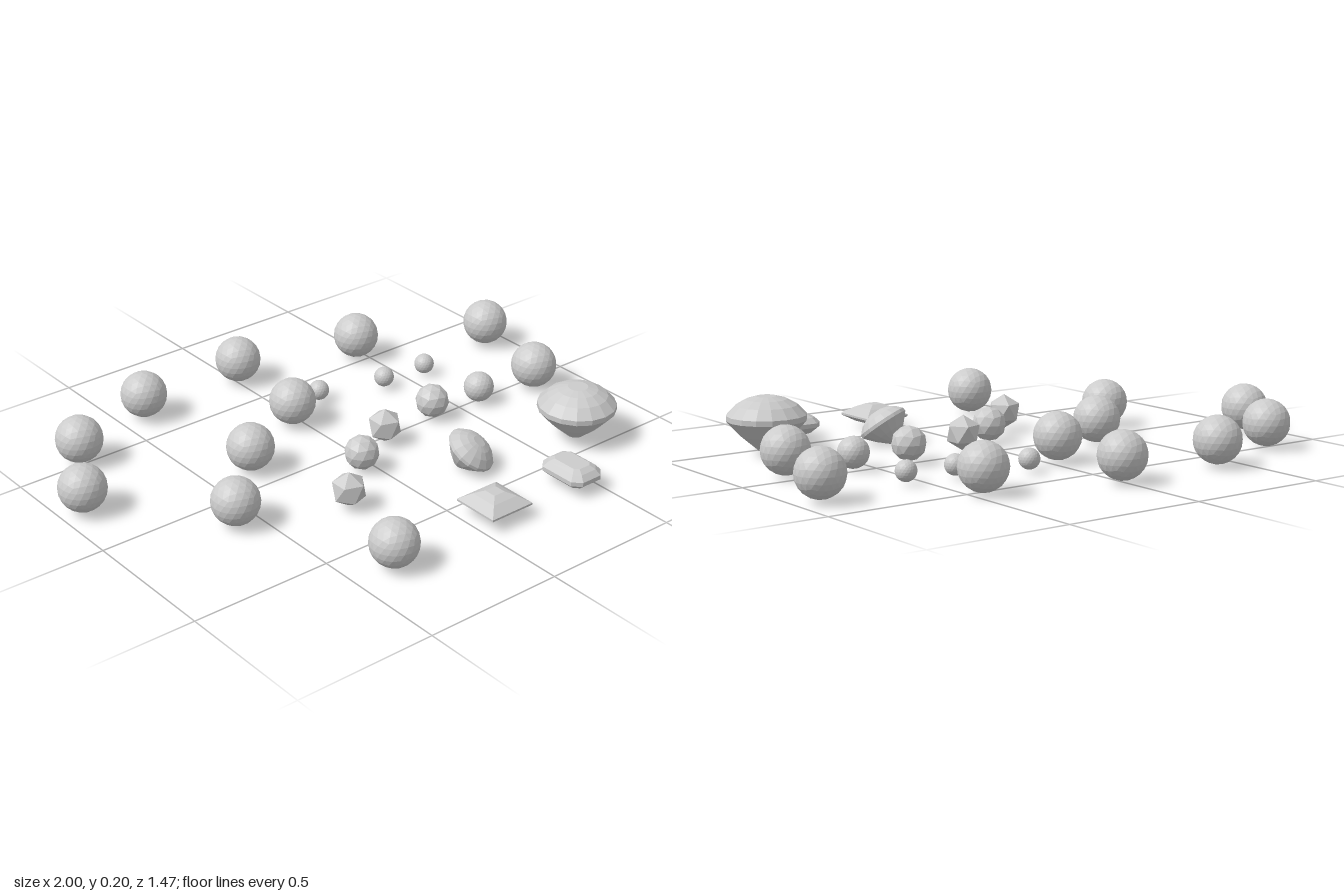
import * as THREE from 'three';

const material = new THREE.MeshStandardMaterial({ color: 0xcccccc, flatShading: true });

// Faceted solid from horizontal rings listed bottom to top, closed by flat caps
function loft(rings) {
  const pos = [];
  const tri = (...pts) => pts.forEach((p) => pos.push(p.x, p.y, p.z));
  const n = rings[0].length;
  const cap = (ring, top) => {
    const c = ring.reduce((s, p) => s.add(p), new THREE.Vector3()).divideScalar(n);
    for (let i = 0; i < n; i++) {
      const a = ring[i], b = ring[(i + 1) % n];
      if (top) tri(c, b, a); else tri(c, a, b);
    }
  };
  cap(rings[0], false);
  for (let k = 0; k < rings.length - 1; k++) {
    for (let i = 0; i < n; i++) {
      const j = (i + 1) % n, lo = rings[k], hi = rings[k + 1];
      tri(lo[i], hi[i], lo[j]);
      tri(lo[j], hi[i], hi[j]);
    }
  }
  cap(rings[rings.length - 1], true);
  const g = new THREE.BufferGeometry();
  g.setAttribute('position', new THREE.Float32BufferAttribute(pos, 3));
  g.computeVertexNormals();
  return g;
}

// Rectangle ring with cut corners: half width, half depth, corner cut, height
function cutRect(w, d, c, y) {
  return [[w, -d + c], [w, d - c], [w - c, d], [-w + c, d], [-w, d - c], [-w, -d + c], [-w + c, -d], [w - c, -d]]
    .map(([x, z]) => new THREE.Vector3(x, y, z));
}

// Regular polygon ring
function circle(r, y, sides = 16) {
  return Array.from({ length: sides }, (_, i) => {
    const a = (i / sides) * Math.PI * 2;
    return new THREE.Vector3(r * Math.cos(a), y, r * Math.sin(a));
  });
}

// Ball of triangles with a corner pointing straight up
function ball(radius, detail) {
  const g = new THREE.IcosahedronGeometry(radius, detail);
  g.rotateZ(Math.atan(2 / (1 + Math.sqrt(5))));
  g.rotateY(Math.PI);
  return g;
}

export function createModel() {
  const group = new THREE.Group();
  const add = (name, geometry, x, y, z) => {
    const mesh = new THREE.Mesh(geometry, material);
    mesh.name = name;
    mesh.position.set(x, y, z);
    group.add(mesh);
    return mesh;
  };

  // Round beads and coarser stones: name, radius, detail, height, [x, z] places
  const sets = [
    ['largeBead', 0.082, 3, 0.087, [[-0.406, -0.647], [-0.754, -0.517], [0.01, -0.657], [0.465, -0.538],
      [0.914, -0.321], [-0.918, -0.238], [-0.032, -0.278], [-0.337, -0.112], [-0.583, 0.14],
      [0.813, 0.049], [-0.348, 0.647]]],
    ['mediumBead', 0.054, 3, 0.058, [[0.582, 0.011]]],
    ['smallBead', 0.036, 3, 0.042, [[0.142, -0.35], [0.388, -0.283], [0.568, -0.27]]],
    ['facetedBead', 0.06, 1, 0.066, [[0.374, -0.003], [-0.049, 0.124]]],
    ['twentySidedStone', 0.062, 0, 0.068, [[0.128, 0.032], [-0.236, 0.286]]],
  ];
  for (const [name, radius, detail, y, places] of sets) {
    const geometry = ball(radius, detail);
    for (const [x, z] of places) add(name, geometry, x, y, z);
  }

  // Round cut gems, with the girdle at the origin
  const roundCut = loft([
    [0.004, -0.119], [0.03, -0.112], [0.09, -0.06], [0.137, -0.008],
    [0.137, 0.01], [0.105, 0.043], [0.07, 0.063], [0.035, 0.073],
  ].map(([r, y]) => circle(r, y)));
  add('largeRoundGem', roundCut, 0.666, 0.124, 0.415);

  // Smaller round gem resting on its side
  const tilted = add('tiltedRoundGem', roundCut, 0.243, 0.067, 0.345);
  tilted.scale.setScalar(0.65);
  tilted.quaternion.setFromUnitVectors(
    new THREE.Vector3(0, 1, 0),
    new THREE.Vector3(0.335, 0.81, 0.48).normalize(),
  );

  // Square pyramid-like gem
  add('squareGem', loft([
    [0.008, 0.008], [0.05, 0.021], [0.086, 0.042], [0.086, 0.049], [0.05, 0.073], [0.022, 0.086],
  ].map(([r, y]) => circle(r * Math.SQRT2, y, 4)).map((ring) => ring.map((p) =>
    p.applyAxisAngle(new THREE.Vector3(0, 1, 0), Math.PI / 4)))), 0.102, 0, 0.615);

  // Long step-cut gem with clipped corners
  add('stepCutGem', loft([
    [0.012, 0.04, 0.006, 0.008], [0.046, 0.072, 0.018, 0.021], [0.068, 0.095, 0.028, 0.041],
    [0.068, 0.095, 0.028, 0.056], [0.053, 0.078, 0.021, 0.074], [0.036, 0.058, 0.014, 0.085],
  ].map((r) => cutRect(...r))), 0.435, 0, 0.629);

  return group;
}
